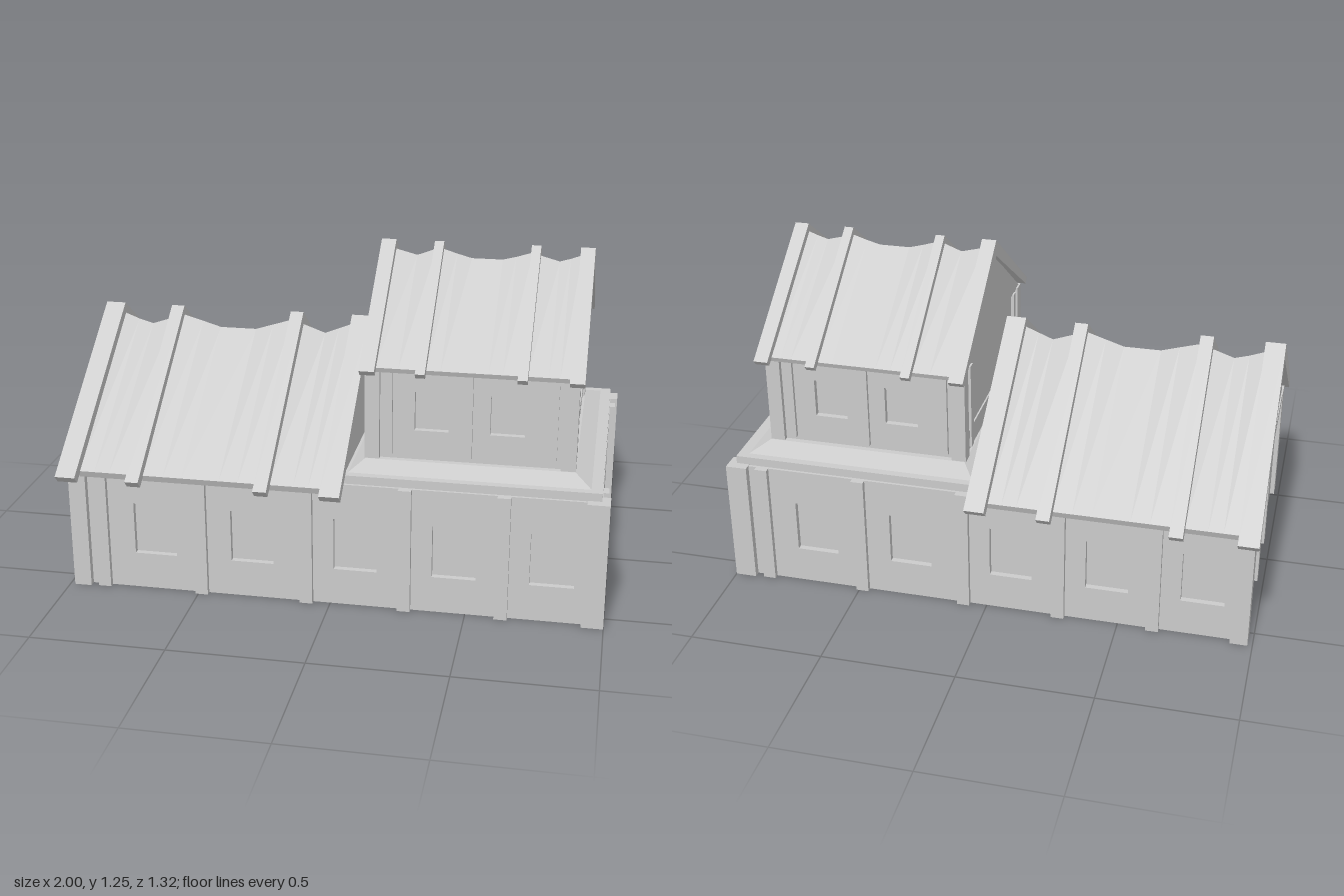
import * as THREE from 'three';

const mat = new THREE.MeshStandardMaterial({ color: 0xcccccc, flatShading: true, side: THREE.DoubleSide });

function add(parent, name, geo) {
  const m = new THREE.Mesh(geo, mat);
  m.name = name;
  parent.add(m);
  return m;
}

// Box given by its extents
function box(parent, name, x0, x1, y0, y1, z0, z1) {
  add(parent, name, new THREE.BoxGeometry(x1 - x0, y1 - y0, z1 - z0))
    .position.set((x0 + x1) / 2, (y0 + y1) / 2, (z0 + z1) / 2);
}

// Surface through rings of equal point count; caps pair point i with its mirror in the ring
function loft(rings, capped) {
  const n = rings[0].length, idx = [];
  const quad = (a, b, c, d) => idx.push(a, b, c, a, c, d);
  for (let r = 0; r < rings.length - 1; r++)
    for (let i = 0; i < n; i++) {
      const j = (i + 1) % n, a = r * n, b = a + n;
      quad(a + i, a + j, b + j, b + i);
    }
  if (capped)
    for (let i = 0; i < n / 2 - 1; i++) {
      const e = (rings.length - 1) * n;
      quad(i, n - 1 - i, n - 2 - i, i + 1);
      quad(e + i, e + i + 1, e + n - 2 - i, e + n - 1 - i);
    }
  const g = new THREE.BufferGeometry();
  g.setAttribute('position', new THREE.Float32BufferAttribute(rings.flat(2), 3));
  g.setIndex(idx);
  const flat = g.toNonIndexed();
  flat.computeVertexNormals();
  return flat;
}

// Chevron section of the roof at x
const chevron = (x, ridge, ez, ey, iz, iy, under) => [
  [x, ey, ez], [x, ridge, 0], [x, ey, -ez],
  [x, iy, -iz], [x, under, 0], [x, iy, iz],
];

// Wall whose outer face lies on z = 0, with rectangular openings [x0, x1, y0, y1]
function wall(parent, x0, x1, y0, y1, t, holes, glazed = true) {
  const s = new THREE.Shape([[x0, y0], [x1, y0], [x1, y1], [x0, y1]].map(p => new THREE.Vector2(...p)));
  for (const [a, b, c, d] of holes) {
    s.holes.push(new THREE.Path([[a, c], [a, d], [b, d], [b, c]].map(p => new THREE.Vector2(...p))));
    if (glazed) box(parent, 'windowPanel', a, b, c, d, -t - 0.012, -0.022);
  }
  const m = add(parent, 'wall', new THREE.ExtrudeGeometry(s, { depth: t, bevelEnabled: false }));
  m.position.z = -t;
}

function side(parent, name, x, z, rotY) {
  const g = new THREE.Group();
  g.name = name;
  g.position.set(x, 0, z);
  g.rotation.y = rotY;
  parent.add(g);
  return g;
}

function gable(parent, x, half, y0, y1) {
  const s = new THREE.Shape([[-half, y0], [half, y0], [0, y1]].map(p => new THREE.Vector2(...p)));
  const m = add(parent, 'gable', new THREE.ExtrudeGeometry(s, { depth: 0.02, bevelEnabled: false }));
  m.rotation.y = Math.PI / 2;
  m.position.x = x - 0.01;
}

// Rafters with sagging roof panels between them
function roof(parent, name, o) {
  const g = new THREE.Group();
  g.name = name;
  parent.add(g);
  for (const [a, b] of o.rafters)
    add(g, 'rafter', loft([a, b].map(x => chevron(x, ...o.rafter)), true));
  for (const pts of o.panels)
    add(g, 'roofPanel', loft(pts.map(([x, y]) => chevron(x, y, ...o.eave, y - 0.035)), true));
}

function lowerStorey(root) {
  const g = new THREE.Group();
  g.name = 'lowerStorey';
  root.add(g);
  // Long walls: the back is the front turned half round
  for (const [name, z, r] of [['frontSide', 0.555, 0], ['backSide', -0.555, Math.PI]]) {
    const s = side(g, name, 0, z, r);
    wall(s, -0.97, 0.97, 0, 0.48, 0.045,
      [-0.663, -0.293, 0.093, 0.455, 0.808].map(x => [x - 0.08, x + 0.08, 0.14, 0.342]));
    for (const x of [-0.865, -0.487, -0.088, 0.275, 0.63])
      box(s, 'wallPost', x - 0.024, x + 0.024, 0, 0.48, -0.005, 0.02);
  }
  // Closed end with posts and a low rail
  const closed = side(g, 'closedEnd', 0.972, 0, Math.PI / 2);
  wall(closed, -0.555, 0.555, 0, 0.48, 0.045, []);
  for (const z of [-0.44, 0.44]) box(closed, 'wallPost', z - 0.023, z + 0.023, 0, 0.48, -0.005, 0.02);
  box(closed, 'rail', -0.51, 0.51, 0.065, 0.11, -0.005, 0.008);
  // End with the doorway
  const door = side(g, 'doorEnd', -0.965, 0, -Math.PI / 2);
  wall(door, -0.555, -0.11, 0, 0.48, 0.05, []);
  wall(door, 0.11, 0.555, 0, 0.48, 0.05, []);
  wall(door, -0.11, 0.11, 0.35, 0.48, 0.05, []);
  for (const k of [-1, 1]) box(door, 'doorPost', k * 0.135 - 0.025, k * 0.135 + 0.025, 0, 0.36, -0.005, 0.012);
  box(door, 'tieBeam', -0.55, 0.55, 0.445, 0.48, -0.005, 0.015);
  // Corner posts
  for (const k of [-1, 1]) {
    const [z0, z1] = k > 0 ? [0.506, 0.58] : [-0.58, -0.506];
    box(g, 'cornerPost', 0.92, 1.0, 0, 0.482, z0, z1);
    box(g, 'cornerPost', -0.982, -0.917, 0, 0.48, z0, z1);
  }
  gable(g, -0.965, 0.56, 0.47, 0.89);
  gable(g, 0.03, 0.56, 0.47, 0.89);
}

function upperStorey(root) {
  const g = new THREE.Group();
  g.name = 'upperStorey';
  root.add(g);
  // Long walls
  for (const [name, z, r] of [['frontSide', 0.415, 0], ['backSide', -0.415, Math.PI]]) {
    const s = side(g, name, 0.488, z, r);
    wall(s, -0.37, 0.37, 0.53, 0.89, 0.035, [-0.14, 0.133].map(x => [x - 0.062, x + 0.062, 0.652, 0.8]));
    for (const x of [-0.297, -0.007, 0.297])
      box(s, 'wallPost', x - 0.015, x + 0.015, 0.556, 0.89, -0.005, 0.014);
  }
  // End walls with posts and a low rail
  for (const k of [-1, 1]) {
    const s = side(g, k > 0 ? 'leftEnd' : 'rightEnd', 0.488 + k * 0.37, 0, k * Math.PI / 2);
    wall(s, -0.415, 0.415, 0.53, 0.89, 0.035, []);
    for (const z of [-0.331, 0.331]) box(s, 'wallPost', z - 0.016, z + 0.016, 0.556, 0.89, -0.005, 0.012);
    box(s, 'rail', -0.38, 0.38, 0.595, 0.63, -0.005, 0.006);
    for (const z of [-1, 1]) {
      const x = 0.488 + k * 0.355, zc = z * 0.408;
      box(g, 'cornerPost', x - 0.027, x + 0.027, 0.535, 0.892, zc - 0.026, zc + 0.026);
    }
    gable(g, 0.488 + k * 0.365, 0.43, 0.888, 1.195);
  }
}

export function createModel() {
  const root = new THREE.Group();
  root.name = 'house';
  lowerStorey(root);

  // Ledge sloping up to the upper storey
  const ring = (x0, x1, z, y) => [[x0, y, z], [x1, y, z], [x1, y, -z], [x0, y, -z]];
  add(root, 'ledge', loft([
    ring(0.13, 0.84, 0.39, 0.48), ring(0.05, 0.97, 0.545, 0.48), ring(0.05, 0.97, 0.545, 0.512),
    ring(0.06, 0.93, 0.515, 0.512), ring(0.11, 0.87, 0.437, 0.54), ring(0.13, 0.84, 0.39, 0.54),
  ]));

  upperStorey(root);

  roof(root, 'lowerRoof', {
    rafters: [[-1, -0.925], [-0.735, -0.685], [-0.26, -0.21], [-0.02, 0.055]],
    rafter: [0.945, 0.662, 0.474, 0.636, 0.446, 0.88],
    eave: [0.6, 0.477, 0.59, 0.452],
    panels: [
      [[-0.93, 0.905], [-0.87, 0.882], [-0.815, 0.866], [-0.73, 0.895]],
      [[-0.69, 0.91], [-0.61, 0.887], [-0.54, 0.866], [-0.4, 0.866], [-0.33, 0.888], [-0.255, 0.912]],
      [[-0.215, 0.898], [-0.125, 0.866], [-0.07, 0.888], [-0.015, 0.91]],
    ],
  });
  roof(root, 'upperRoof', {
    rafters: [[0.095, 0.15], [0.295, 0.33], [0.655, 0.69], [0.835, 0.888]],
    rafter: [1.25, 0.496, 0.894, 0.478, 0.874, 1.187],
    eave: [0.452, 0.895, 0.445, 0.877],
    panels: [
      [[0.145, 1.215], [0.23, 1.193], [0.3, 1.22]],
      [[0.325, 1.222], [0.38, 1.205], [0.435, 1.19], [0.55, 1.19], [0.6, 1.203], [0.66, 1.222]],
      [[0.685, 1.213], [0.76, 1.193], [0.8, 1.205], [0.84, 1.22]],
    ],
  });
  return root;
}
